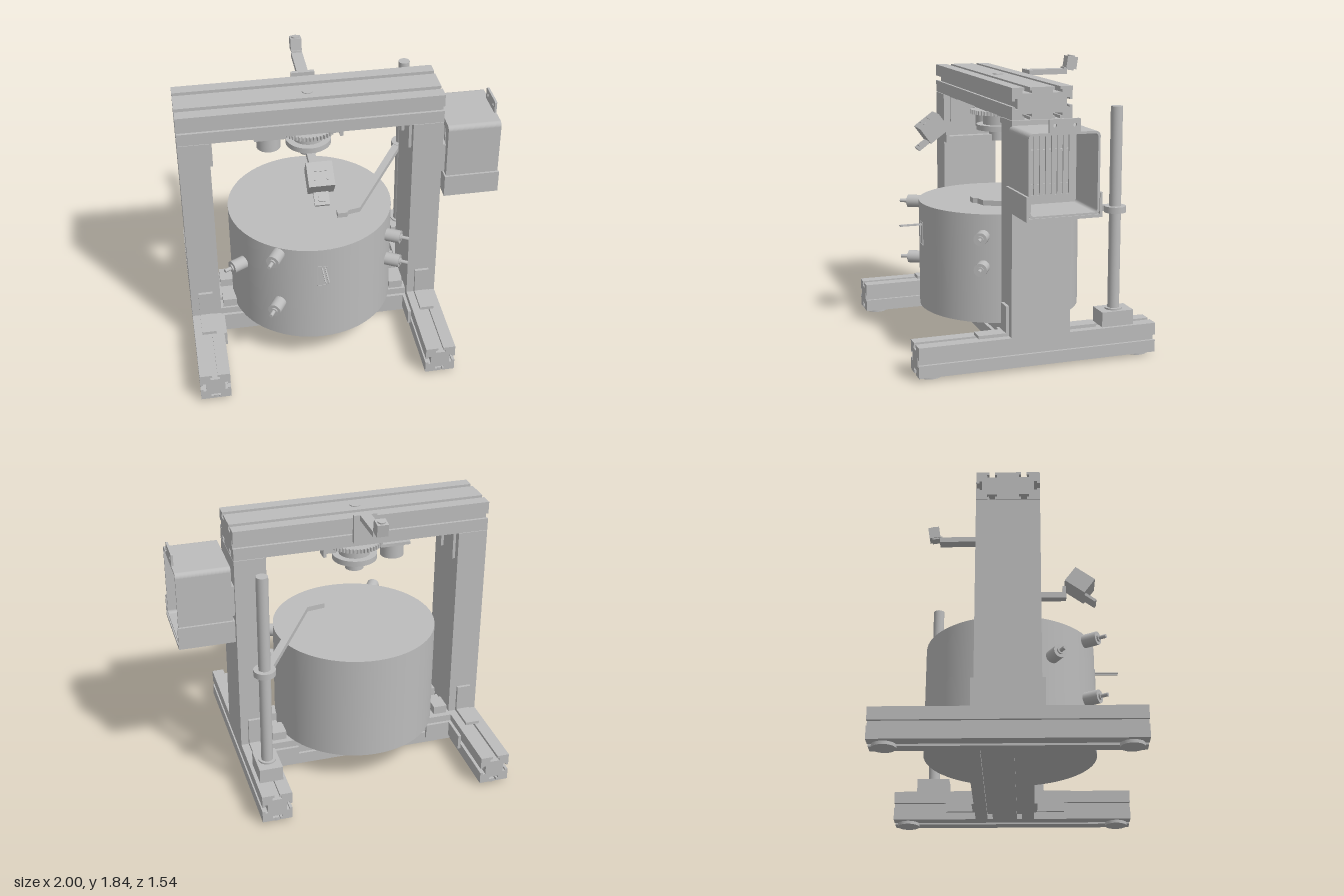
import * as THREE from 'three';

const grey = new THREE.MeshStandardMaterial({ color: 0xbcbcbc });
grey.name = 'machine grey';
const CX = -0.185; // turntable axis

export function createModel() {
  const root = new THREE.Group();
  root.name = 'turntableRig';

  const add = (name, geo, parent = root) => {
    const m = new THREE.Mesh(geo, grey);
    m.name = name;
    parent.add(m);
    return m;
  };
  // box given by its min and max on each axis
  const box = (name, x0, x1, y0, y1, z0, z1, parent) => add(name,
    new THREE.BoxGeometry(x1 - x0, y1 - y0, z1 - z0)
      .translate((x0 + x1) / 2, (y0 + y1) / 2, (z0 + z1) / 2), parent);
  // upright cylinder
  const cyl = (name, x, z, r, y0, y1, seg = 32, parent = root) => add(name,
    new THREE.CylinderGeometry(r, r, y1 - y0, seg).translate(x, (y0 + y1) / 2, z), parent);
  const extrude = (shape, depth) => new THREE.ExtrudeGeometry(shape, { depth, bevelEnabled: false, curveSegments: 8 });
  const path = (pts) => new THREE.Shape(pts.map(p => new THREE.Vector2(p[0], p[1])));
  const roundRect = (P, x0, x1, y0, y1, r) => {
    const s = new P();
    s.moveTo(x0 + r, y0);
    s.lineTo(x1 - r, y0); s.absarc(x1 - r, y0 + r, r, -Math.PI / 2, 0);
    s.lineTo(x1, y1 - r); s.absarc(x1 - r, y1 - r, r, 0, Math.PI / 2);
    s.lineTo(x0 + r, y1); s.absarc(x0 + r, y1 - r, r, Math.PI / 2, Math.PI);
    s.lineTo(x0, y0 + r); s.absarc(x0 + r, y0 + r, r, Math.PI, 1.5 * Math.PI);
    return s;
  };

  // T-slotted bar section, w by h
  const slotted = (w, h) => {
    const pts = [];
    const side = (len, ox, oy, dx, dy, slots) => {
      pts.push([ox, oy]);
      for (const c of slots) {
        for (const [a, d] of [[-0.017, 0], [-0.017, 0.018], [-0.03, 0.018], [-0.03, 0.035],
          [0.03, 0.035], [0.03, 0.018], [0.017, 0.018], [0.017, 0]]) {
          const t = c * len + a;
          pts.push([ox + dx * t - dy * d, oy + dy * t + dx * d]);
        }
      }
    };
    const many = w > 0.3 ? [0.25, 0.75] : [0.5];
    side(w, -w / 2, -h / 2, 1, 0, many);
    side(h, w / 2, -h / 2, 0, 1, [0.5]);
    side(w, w / 2, h / 2, -1, 0, many);
    side(h, -w / 2, h / 2, 0, -1, [0.5]);
    return path(pts);
  };

  // --- frame ---
  for (const x of [-0.905, 0.535]) {
    const inward = x < 0 ? 1 : -1;
    const inner = x + inward * 0.095;
    const span = (a, b) => [Math.min(inner + inward * a, inner + inward * b), Math.max(inner + inward * a, inner + inward * b)];
    add('baseRail', extrude(slotted(0.19, 0.19), 1.54).translate(x, 0.115, -0.77));
    box('post', x - 0.095, x + 0.095, 0.21, 1.535, -0.19, 0.19);
    for (const s of [-1, 1]) {
      cyl('footPad', x, s * 0.68, 0.07, 0, 0.022, 24);
      const zr = (a, b) => [Math.min(s * a, s * b), Math.max(s * a, s * b)];
      // angle bracket between post and rail
      box('postBracketUpright', x - 0.046, x + 0.046, 0.21, 0.4, ...zr(0.19, 0.21));
      box('postBracketFoot', x - 0.046, x + 0.046, 0.21, 0.23, ...zr(0.2, 0.385));
      // angle bracket between cross beam and rail
      const zb = s > 0 ? 0.145 : -0.235;
      const zs = (a) => [Math.min(zb, zb + s * a), Math.max(zb, zb + s * a)];
      box('beamBracketArm', ...span(0, 0.18), 0.065, 0.165, ...zs(0.02));
      box('beamBracketLeg', ...span(0, 0.02), 0.065, 0.165, ...zs(0.195));
      // angle bracket under the top beam
      box('topBracketUpright', ...span(0, 0.018), 1.345, 1.535, s * 0.1 - 0.046, s * 0.1 + 0.046);
      box('topBracketArm', ...span(0, 0.19), 1.517, 1.535, s * 0.1 - 0.046, s * 0.1 + 0.046);
    }
    box('drumStop', ...span(0.02, 0.11), 0.21, 0.265, -0.2, -0.08);
    box('drumStop', ...span(0.02, 0.11), 0.21, 0.265, 0.03, 0.13);
  }
  const beam = (name, x0, len, y, z) => add(name,
    extrude(slotted(0.38, 0.19), len).rotateY(Math.PI / 2).translate(x0, y, z));
  beam('topBeam', -1, 1.63, 1.633, 0);
  beam('crossBeam', -0.81, 1.25, 0.115, -0.045);
  cyl('shaftCap', CX, 0, 0.035, 1.7, 1.733, 24);

  // --- drum with its ports ---
  cyl('drum', CX, 0, 0.527, 0.21, 0.91, 64);
  const port = (deg, y) => {
    const g = new THREE.Group();
    g.name = 'port';
    const rod = (name, r, a, b) => add(name,
      new THREE.CylinderGeometry(r, r, b - a, 20).rotateZ(-Math.PI / 2).translate((a + b) / 2, 0, 0), g);
    rod('portBody', 0.042, 0.5, 0.62);
    rod('portCollar', 0.022, 0.62, 0.63);
    rod('portPin', 0.012, 0.62, 0.675);
    g.position.set(CX, y, 0);
    g.rotation.y = -deg * Math.PI / 180;
    root.add(g);
  };
  [[29, 0.77], [29, 0.575], [151, 0.67], [120, 0.865], [120, 0.48]].forEach(p => port(...p));
  const frame = roundRect(THREE.Shape, -0.22, -0.155, 0.63, 0.785, 0.004);
  frame.holes.push(roundRect(THREE.Path, -0.213, -0.162, 0.637, 0.778, 0.004));
  add('drumWindow', extrude(frame, 0.008).translate(0, 0, 0.522));
  for (const x of [-0.187, -0.167]) box('probeWire', x - 0.004, x + 0.004, 0.766, 0.774, 0.5, 0.675);

  // --- turntable drive under the top beam ---
  const gear = (name, x, r, teeth) => {
    const pts = [];
    for (let i = 0; i < teeth; i++)
      for (const [f, d] of [[0, -0.012], [0.3, -0.012], [0.45, 0], [0.8, 0]]) {
        const a = (i + f) / teeth * Math.PI * 2;
        pts.push([Math.cos(a) * (r + d), Math.sin(a) * (r + d)]);
      }
    add(name, extrude(path(pts), 0.027).rotateX(-Math.PI / 2).translate(x, 1.475, 0));
  };
  gear('mainGear', CX, 0.18, 48);
  gear('pinion', -0.425, 0.065, 16);
  box('driveMount', -0.31, -0.06, 1.505, 1.535, -0.12, 0.12);
  cyl('hub', CX, 0, 0.1, 1.4, 1.51);
  cyl('hubFlange', CX, 0, 0.143, 1.37, 1.405, 40);
  cyl('hubStub', CX, 0, 0.06, 1.3, 1.38);
  box('motorHanger', -0.53, -0.5, 1.45, 1.535, -0.05, 0.05);
  box('motorMount', -0.57, -0.455, 1.512, 1.535, -0.07, 0.07);
  box('motorPlate', -0.53, -0.335, 1.45, 1.47, -0.08, 0.08);
  cyl('motor', -0.435, 0, 0.075, 1.36, 1.452);
  box('sensorMount', -0.04, 0.08, 1.512, 1.535, -0.06, 0.06);
  box('sensorHanger', 0.01, 0.03, 1.41, 1.515, -0.04, 0.04);
  box('sensor', -0.055, 0.012, 1.43, 1.462, -0.03, 0.03);

  // --- front camera on its arm ---
  box('cameraArm', -0.21, -0.157, 1.3, 1.34, -0.03, 0.35);
  box('cameraArmEnd', -0.21, -0.157, 1.3, 1.385, 0.34, 0.362);
  const cam = new THREE.Group();
  cam.name = 'frontCamera';
  cam.position.set(CX, 1.4, 0.45);
  cam.rotation.x = 0.63;
  root.add(cam);
  box('cameraBody', -0.078, 0.078, -0.06, 0.06, -0.077, 0.077, cam);
  box('cameraSlot', -0.045, 0.045, 0.06, 0.064, -0.03, -0.015, cam);
  for (const x of [-0.04, 0.04]) cyl('cameraScrew', x, 0.03, 0.01, 0.06, 0.064, 12, cam);
  box('cameraTab', -0.045, 0.045, -0.06, -0.042, 0.07, 0.16, cam);
  box('cameraTabPad', -0.02, 0.02, -0.042, -0.034, 0.105, 0.14, cam);

  // --- rear camera on top ---
  box('rearPlate', -0.258, -0.112, 1.57, 1.752, -0.215, -0.19);
  box('rearArm', -0.22, -0.15, 1.717, 1.752, -0.465, -0.2);
  const rear = new THREE.Group();
  rear.name = 'rearCamera';
  rear.position.set(CX, 1.79, -0.503);
  rear.rotation.x = -0.15;
  root.add(rear);
  box('rearCameraBody', -0.035, 0.035, -0.04, 0.04, -0.036, 0.036, rear);
  cyl('rearCameraLens', 0, 0, 0.025, 0.04, 0.048, 20, rear);
  box('rearCameraTab', -0.03, 0.03, -0.05, -0.035, -0.02, 0.05, rear);

  // --- rod with swing arm ---
  box('rodBase', 0.46, 0.608, 0.21, 0.305, -0.625, -0.415);
  cyl('rodSocket', 0.535, -0.52, 0.055, 0.3, 0.315);
  cyl('rod', 0.535, -0.52, 0.037, 0.3, 1.585);
  cyl('armClamp', 0.535, -0.52, 0.068, 0.926, 0.965);
  const arm = path([[-0.04, 0.24], [0.02, 0.24], [0.035, 0.215], [0.11, 0.2], [0.535, -0.5],
    [0.49, -0.52], [0.08, 0.165], [-0.04, 0.185]].map(([x, z]) => [x, -z]));
  add('swingArm', extrude(arm, 0.033).rotateX(-Math.PI / 2).translate(0, 0.93, 0));

  // --- open electronics box on the side ---
  const sideways = (name, shape, x0, x1) =>
    add(name, extrude(shape, x1 - x0).rotateY(Math.PI / 2).translate(x0, 0, 0));
  box('boxBracket', 0.63, 0.656, 1.16, 1.36, -0.17, 0.17);
  const shell = roundRect(THREE.Shape, -0.217, 0.217, 1.025, 1.51, 0.03);
  shell.holes.push(roundRect(THREE.Path, -0.203, 0.203, 1.039, 1.496, 0.02));
  sideways('boxShell', shell, 0.667, 0.99);
  const wall = roundRect(THREE.Shape, -0.217, 0.217, 1.025, 1.51, 0.03);
  for (let i = -4; i <= 4; i++) {
    const c = i * 0.037;
    wall.holes.push(roundRect(THREE.Path, c - 0.009, c + 0.009, 1.09, 1.465, 0.0088));
  }
  sideways('ventedWall', wall, 0.655, 0.667);
  sideways('boxSleeve', path([[-0.232, 1.01], [0.232, 1.01], [0.232, 1.155], [0.217, 1.155],
    [0.217, 1.028], [-0.217, 1.028], [-0.217, 1.155], [-0.232, 1.155]]), 0.65, 0.997);
  box('sleeveBack', 0.645, 0.656, 1.01, 1.155, -0.232, 0.232);
  const tab = roundRect(THREE.Shape, -0.095, 0.095, 1.5, 1.587, 0.008);
  for (const z of [-0.06, 0.06]) tab.holes.push(new THREE.Path().absarc(z, 1.55, 0.011, 0, Math.PI * 2));
  sideways('boxTab', tab, 0.976, 0.99);

  return root;
}
